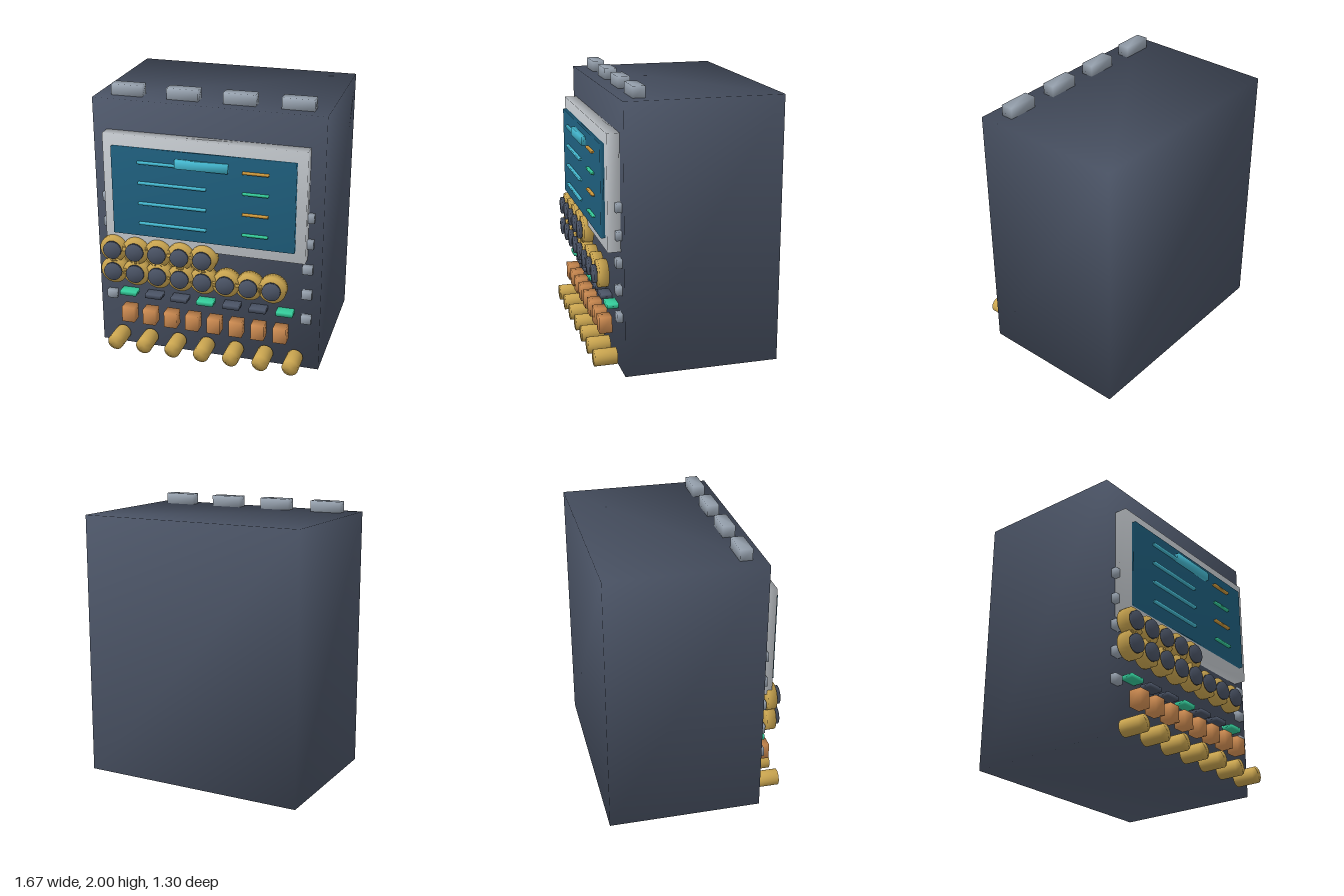
import * as THREE from 'three';
import { mergeVertices } from 'three/addons/utils/BufferGeometryUtils.js';

const paint = (name, color) => {
  const m = new THREE.MeshStandardMaterial({ color });
  m.name = name;
  return m;
};

// Weld the corners so shading flows softly across the edges.
function soften(geometry) {
  geometry.deleteAttribute('uv');
  geometry.deleteAttribute('normal');
  const welded = mergeVertices(geometry);
  welded.computeVertexNormals();
  return welded;
}

export function createModel() {
  const slate = paint('slate', 0x4b5466);
  const steel = paint('steel', 0x98a3b0);
  const silver = paint('silver', 0xc6cbd0);
  const glass = paint('screenBlue', 0x1f607f);
  const cyan = paint('cyan', 0x45bad2);
  const green = paint('green', 0x34cc9a);
  const amber = paint('amber', 0xd09a3c);
  const brass = paint('brass', 0xcba650);
  const copper = paint('copper', 0xd08d52);

  const model = new THREE.Group();
  model.name = 'controlConsole';
  const add = (name, geometry, material, x, y, z) => {
    const mesh = new THREE.Mesh(geometry, material);
    mesh.name = name;
    mesh.position.set(x, y, z);
    model.add(mesh);
    return mesh;
  };
  // Box from front-view centre and size, spanning z0 to z1.
  const box = (name, material, x, y, w, h, z0, z1) =>
    add(name, soften(new THREE.BoxGeometry(w, h, z1 - z0)), material, x, y, (z0 + z1) / 2);
  // Disc or rod facing the front, spanning z0 to z1.
  const rod = (name, material, x, y, r, z0, z1) => {
    const g = new THREE.CylinderGeometry(r, r, z1 - z0, 32).rotateX(Math.PI / 2);
    return add(name, soften(g), material, x, y, (z0 + z1) / 2);
  };

  // Cabinet and display
  box('cabinet', slate, 0, 0.96, 1.67, 1.92, -0.65, 0.465);
  box('displayFrame', silver, -0.002, 1.286, 1.465, 0.82, 0.455, 0.555);
  box('displayScreen', glass, -0.002, 1.287, 1.323, 0.654, 0.545, 0.585);
  box('displayHeader', cyan, 0, 1.536, 0.378, 0.062, 0.582, 0.615);

  // Readout lines on the screen
  [1.518, 1.367, 1.214, 1.062].forEach((y, i) => {
    box('readoutLine', cyan, -0.217, y, 0.493, 0.017, 0.582, 0.606);
    box('statusLine', i % 2 ? green : amber, 0.382, y, 0.183, 0.015, 0.582, 0.606);
  });

  // Blocks along the top edge
  for (let i = 0; i < 4; i++)
    add('topBlock', soften(new THREE.BoxGeometry(0.228, 0.09, 0.088)), steel,
      -0.612 + i * 0.409, 1.955, 0.332);

  // Tabs down both sides of the front
  for (const side of [-1, 1])
    for (let i = 0; i < 5; i++)
      box('sideTab', steel, side * 0.738, 1.195 - i * 0.196, 0.072, 0.063, 0.455, 0.505);

  // Two rows of dials, the upper one shorter
  [[5, 0.827], [8, 0.657]].forEach(([count, y]) => {
    for (let i = 0; i < count; i++) {
      const x = -0.677 + i * 0.1692;
      rod('dial', brass, x, y, 0.1, 0.517, 0.585);
      rod('dialCap', slate, x, y, 0.066, 0.594, 0.619);
    }
  });

  // Indicator lamps: every third one is lit
  for (let i = 0; i < 7; i++)
    box('indicator', i % 3 ? slate : green, -0.594 + i * 0.197, 0.454, 0.122, 0.032, 0.46, 0.547);

  // Square buttons
  for (let i = 0; i < 8; i++)
    box('button', copper, -0.579 + i * 0.164, 0.305, 0.096, 0.118, 0.505, 0.595);

  // Round knobs along the bottom
  for (let i = 0; i < 7; i++)
    rod('knob', brass, -0.664 + i * 0.2215, 0.092, 0.06, 0.49, 0.652);

  return model;
}
